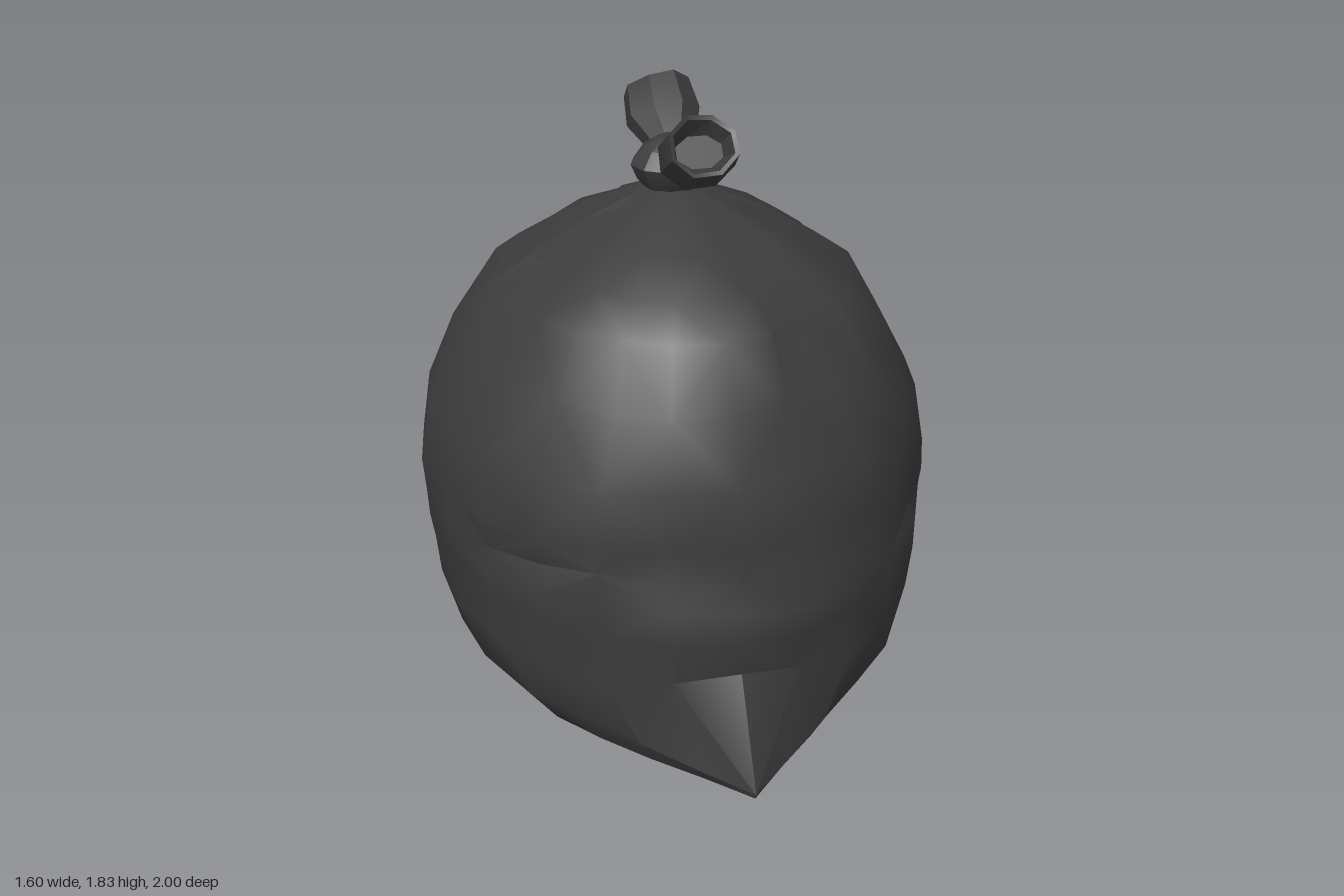
import * as THREE from 'three';
import { toCreasedNormals } from 'three/addons/utils/BufferGeometryUtils.js';

const blackPlastic = new THREE.MeshStandardMaterial({ color: 0x3c3c3c });
blackPlastic.name = 'blackPlastic';

// Skin a stack of closed rings (each a list of [x, y, z]) and close both ends with fans
function loft(rings, crease) {
  const n = rings[0].length;
  const pos = rings.flat(2);
  const index = [];
  for (let i = 0; i < rings.length - 1; i++) {
    for (let j = 0; j < n; j++) {
      const a = i * n + j, b = i * n + (j + 1) % n, c = a + n, d = b + n;
      if ((i + j) % 2) index.push(a, c, b, b, c, d);
      else index.push(a, c, d, a, d, b);
    }
  }
  const cap = (ring, start, flip) => {
    const centre = pos.length / 3;
    for (let k = 0; k < 3; k++) pos.push(ring.reduce((s, p) => s + p[k], 0) / n);
    for (let j = 0; j < n; j++) {
      const a = start + j, b = start + (j + 1) % n;
      index.push(centre, flip ? b : a, flip ? a : b);
    }
  };
  cap(rings[0], 0, false);
  cap(rings[rings.length - 1], (rings.length - 1) * n, true);
  const g = new THREE.BufferGeometry();
  g.setAttribute('position', new THREE.Float32BufferAttribute(pos, 3));
  g.setIndex(index);
  return toCreasedNormals(g, crease);
}

function part(name, geometry) {
  const m = new THREE.Mesh(geometry, blackPlastic);
  m.name = name;
  return m;
}

// Mirror a quarter outline (from +x round to +z) into a full ring
function mirrorRing(q) {
  const h = [...q, ...q.slice(0, -1).reverse().map(([x, y, z]) => [-x, y, z])];
  return [...h, ...h.slice(1, -1).reverse().map(([x, y, z]) => [x, y, -z])];
}

function bagBody() {
  let seed = 40713;
  const rand = () => (seed = (seed * 16807) % 2147483647) / 2147483647 - 0.5;

  // Flat base, its rolled edge, the seam drawn out to a corner at front and back, and the fold above
  const base = mirrorRing([[0.5, 0, 0], [0.49, 0, 0.22], [0.43, 0, 0.44], [0.33, 0, 0.58],
    [0.22, 0, 0.71], [0.11, 0, 0.84], [0, 0, 0.975]]);
  const edge = mirrorRing([[0.56, 0.02, 0], [0.55, 0.02, 0.23], [0.48, 0.02, 0.46], [0.37, 0.015, 0.6],
    [0.25, 0.01, 0.73], [0.12, 0.008, 0.86], [0, 0.007, 0.99]]);
  const seam = mirrorRing([[0.7, 0.13, 0], [0.665, 0.14, 0.25], [0.565, 0.14, 0.5], [0.43, 0.115, 0.63],
    [0.285, 0.085, 0.755], [0.14, 0.05, 0.877], [0, 0.025, 1]]);
  const cornerFold = mirrorRing([[0.757, 0.32, 0], [0.73, 0.31, 0.21], [0.655, 0.3, 0.41], [0.535, 0.28, 0.57],
    [0.37, 0.26, 0.71], [0.19, 0.295, 0.78], [0, 0.33, 0.83]]);

  // height, half width, front depth, back depth
  const profile = [
    [0.44, 0.77, 0.855, 0.845], [0.53, 0.785, 0.84, 0.83],
    [0.61, 0.79, 0.805, 0.81], [0.72, 0.80, 0.81, 0.805], [0.9, 0.77, 0.785, 0.785],
    [1.1, 0.665, 0.705, 0.71], [1.28, 0.565, 0.61, 0.58], [1.36, 0.45, 0.51, 0.46],
    [1.44, 0.32, 0.365, 0.345], [1.5, 0.19, 0.2, 0.2], [1.56, 0.06, 0.07, 0.07]];
  const pleats = [1, 4, 11, 13, 16, 20, 23];
  const rings = profile.map(([y, rx, zf, zb], i) =>
    base.map((_, j) => {
      const a = j * Math.PI / 12;
      const c = Math.cos(a), s = Math.sin(a);
      const onAxis = j % 6 === 0;
      // gathers running down from the knot
      const gather = pleats.includes(j) && y > 1.2 && y < 1.52 ? (y - 1.1) * 0.38 : 0;
      // fuller back quarters, flatter front quarters
      const quarter = Math.abs(2 * s * c) * (s > 0 ? -0.02 : 0.012);
      const wrinkle = onAxis ? 0 : rand() * 0.035;
      const r = 1 - gather + quarter + wrinkle;
      // sagging folds
      const sag = i < 6 && !onAxis ? 0.02 * Math.sin(3 * a + i) + rand() * 0.03 : 0;
      return [rx * r * c, y + sag, (s > 0 ? zf : zb) * r * s];
    }));
  return part('bagBody', loft([base, edge, seam, cornerFold, ...rings], 0.6));
}

// Faceted knot around the neck
function knot() {
  const rings = [[1.53, 0.07, 0.07], [1.575, 0.11, 0.1], [1.62, 0.13, 0.115],
    [1.67, 0.095, 0.085], [1.7, 0.045, 0.04]].map(([y, rx, rz]) =>
    Array.from({ length: 10 }, (_, j) => {
      const a = j * Math.PI / 5;
      return [rx * Math.cos(a), y, rz * Math.sin(a)];
    }));
  return part('knot', loft(rings, 0.5));
}

// Flared loose end with a shallow hollow mouth; local y runs along the ear
function ear(name, turn) {
  const rings = [[0, 0.055, 0.045], [0.06, 0.07, 0.065], [0.14, 0.112, 0.092], [0.255, 0.1, 0.094],
    [0.25, 0.088, 0.08], [0.19, 0.07, 0.05]].map(([y, rx, rz], i) =>
    Array.from({ length: 8 }, (_, j) => {
      const a = (j + 0.5) * Math.PI / 4;
      const lip = i > 1 && i < 5 ? 0.012 * Math.sin(2 * a + 0.6) : 0;
      return [rx * 1.06 * Math.cos(a), y + lip, rz * 1.06 * Math.sin(a)];
    }));
  const m = part(name, loft(rings, 0.6));
  m.rotation.set(0.95, turn, 0, 'YXZ');
  m.position.set(0.02, 1.61, turn ? -0.08 : 0.08);
  return m;
}

export function createModel() {
  const bag = new THREE.Group();
  bag.name = 'tiedBag';
  bag.add(bagBody(), knot(), ear('frontEar', 0), ear('backEar', Math.PI));
  return bag;
}
